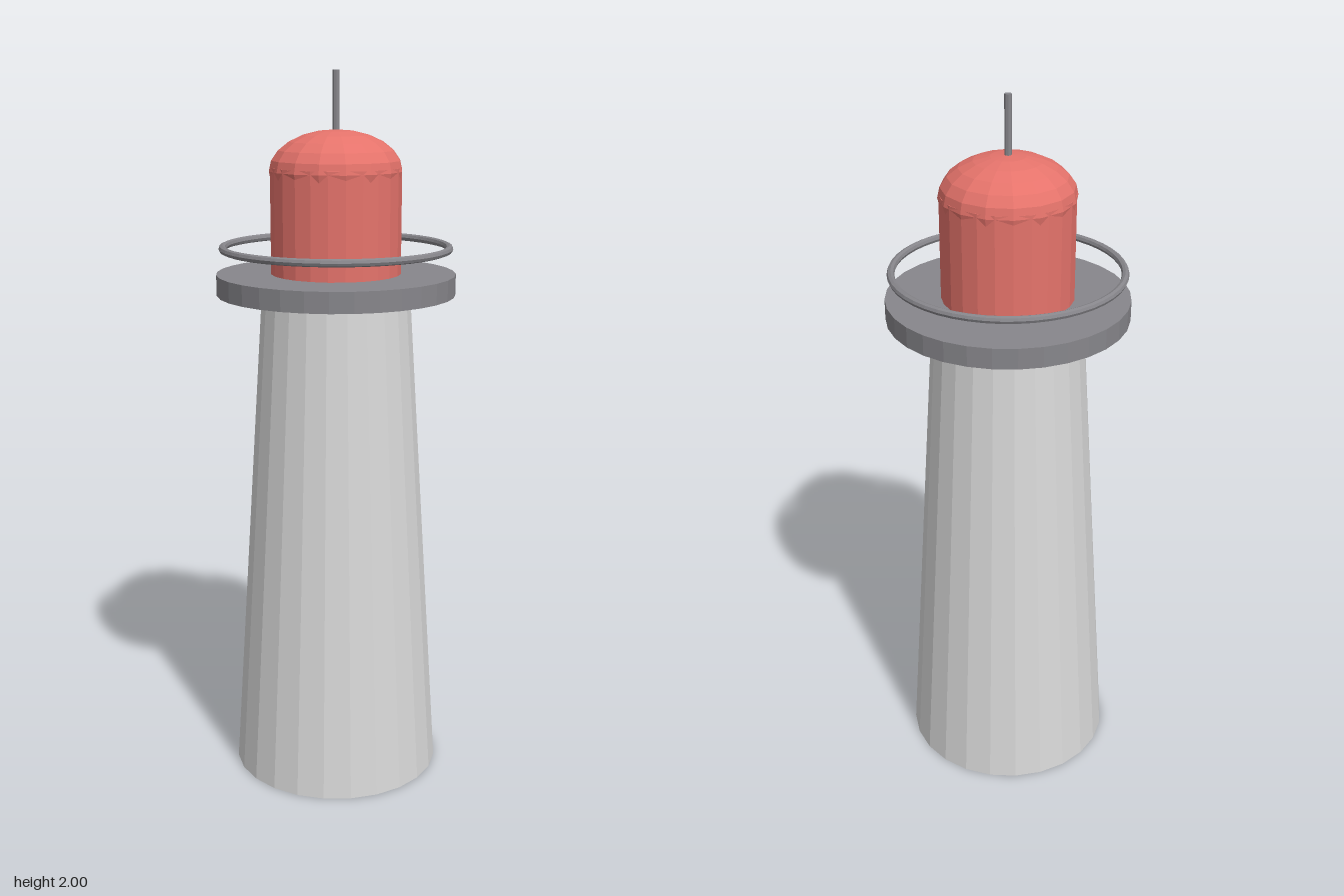
import * as THREE from 'three';

export function createModel() {
  const model = new THREE.Group();
  model.name = 'lighthouse';

  const material = (name, color, flatShading = true) => {
    const m = new THREE.MeshStandardMaterial({ color, flatShading });
    m.name = name;
    return m;
  };
  const paleGrey = material('paleGrey', 0xd9d9d9);
  const darkGrey = material('darkGrey', 0x87868b);
  const red = material('red', 0xe5736b);

  const add = (name, geometry, mat, y) => {
    const mesh = new THREE.Mesh(geometry, mat);
    mesh.name = name;
    mesh.position.y = y;
    model.add(mesh);
    return mesh;
  };
  // Upright round part between two heights
  const column = (name, mat, rTop, rBottom, y0, y1, sides) =>
    add(name, new THREE.CylinderGeometry(rTop, rBottom, y1 - y0, sides), mat, (y0 + y1) / 2);

  // Tapered tower and the gallery deck on it
  column('tower', paleGrey, 0.207, 0.297, 0, 1.4, 24);
  column('galleryDeck', darkGrey, 0.331, 0.331, 1.4, 1.457, 32);

  // Hand rail floating above the deck edge
  const rail = new THREE.TorusGeometry(0.312, 0.0105, 8, 48);
  rail.rotateX(Math.PI / 2);
  add('galleryRail', rail, darkGrey, 1.527);

  // Lantern room with a flattened dome
  column('lanternRoom', red, 0.18, 0.18, 1.457, 1.745, 24);
  const dome = new THREE.SphereGeometry(0.183, 16, 12);
  dome.scale(1, 0.6, 1);
  add('dome', dome, red, 1.735);

  // Mast on the dome
  column('mast', darkGrey, 0.0095, 0.0095, 1.82, 2, 8);

  return model;
}
